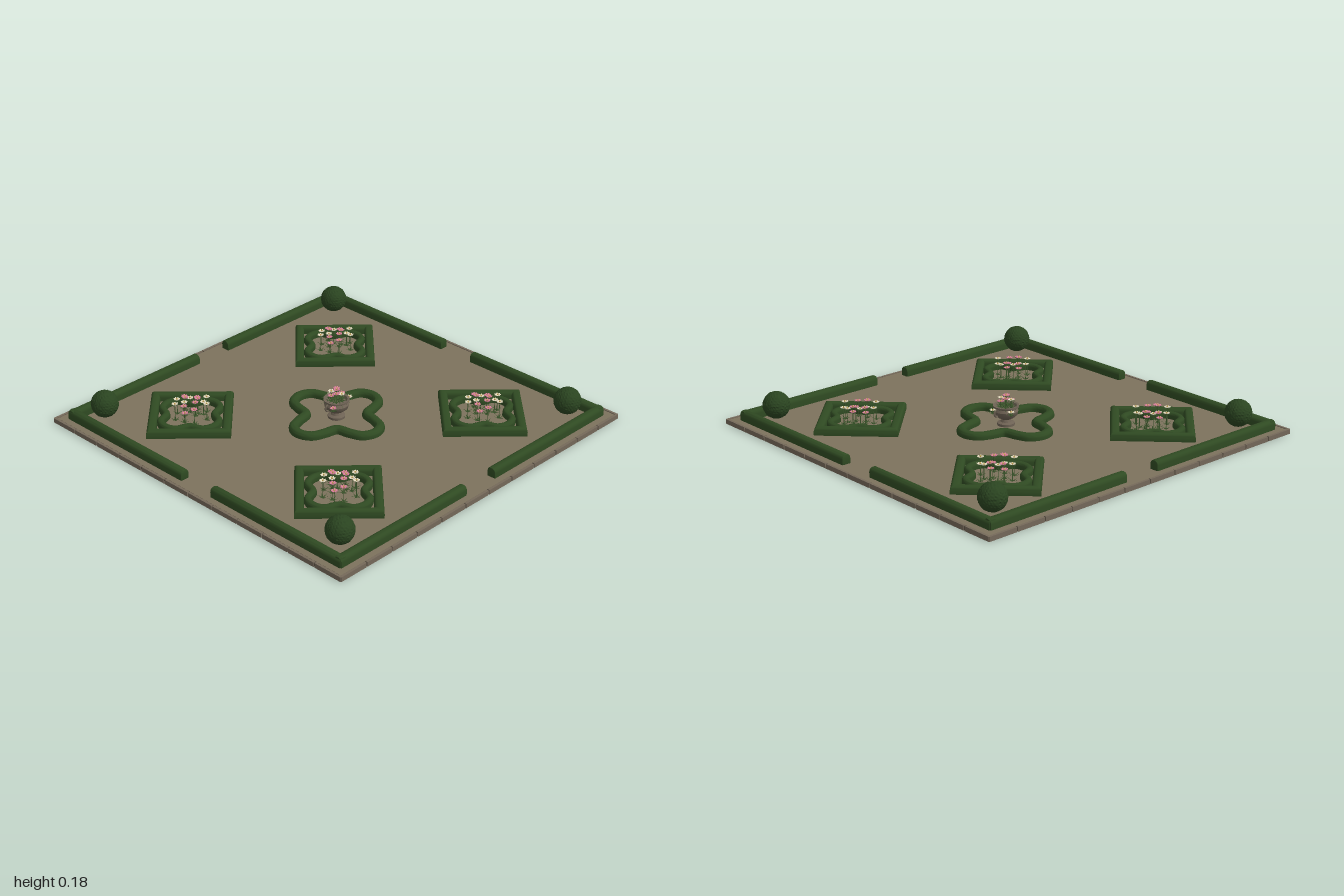
import * as THREE from 'three';
import { mergeGeometries, toCreasedNormals } from 'three/addons/utils/BufferGeometryUtils.js';

const mat = (name, color, side = THREE.FrontSide) => {
  const m = new THREE.MeshStandardMaterial({ color, side });
  m.name = name;
  return m;
};
const GROUND = 0.022;

export function createModel() {
  const M = {
    gravel: mat('gravel', 0x7d725d),
    kerb: mat('kerb stone', 0x75695a),
    joint: mat('dark joint', 0x4a4236),
    hedge: mat('hedge green', 0x2f4a22),
    ball: mat('topiary green', 0x2a4420),
    leaf: mat('leaf green', 0x3f5a2e, THREE.DoubleSide),
    urn: mat('urn stone', 0x6e6254, THREE.DoubleSide),
    pink: mat('pink petals', 0xd9809a),
    cream: mat('cream petals', 0xe4dabf),
    yolk: mat('flower centre', 0xc9a650),
  };
  const root = new THREE.Group();
  root.name = 'formalGarden';
  const add = (parent, name, geo, material, x = 0, y = 0, z = 0) => {
    const mesh = new THREE.Mesh(geo, material);
    mesh.name = name;
    mesh.position.set(x, y, z);
    parent.add(mesh);
    return mesh;
  };
  const group = (parent, name, x = 0, y = 0, z = 0) => {
    const g = new THREE.Group();
    g.name = name;
    g.position.set(x, y, z);
    parent.add(g);
    return g;
  };

  // Ground slab, with a ring of kerb stones set against a dark joint
  add(root, 'gravelGround', new THREE.BoxGeometry(1.968, GROUND, 1.968), M.gravel, 0, GROUND / 2, 0);
  add(root, 'kerbJoint', new THREE.BoxGeometry(1.992, GROUND - 0.004, 1.992), M.joint, 0, GROUND / 2, 0);
  add(root, 'underside', new THREE.BoxGeometry(1.99, 0.004, 1.99), M.gravel, 0, 0.002, 0);
  const stones = 12, step = 2 / stones;
  for (let side = 0; side < 4; side++) {
    const g = group(root, 'kerbSide');
    g.rotation.y = side * Math.PI / 2;
    for (let i = 0; i < stones; i++) {
      add(g, 'kerbStone', new THREE.BoxGeometry(step - 0.006, GROUND + 0.002, 0.013), M.kerb,
        -1 + step * (i + 0.5), (GROUND + 0.002) / 2, 0.9935);
    }
  }

  // Hedge cross-section: upright sides and a rounded top, as [offset, height]
  const hedgeProfile = (w, h) => {
    const r = w * 0.42, pts = [[-w / 2, 0]];
    for (let i = 0; i <= 4; i++) {
      const a = i / 4 * Math.PI / 2;
      pts.push([-w / 2 + r - r * Math.cos(a), h - r + r * Math.sin(a)]);
    }
    return pts.concat(pts.map(([o, y]) => [-o, y]).reverse());
  };

  // Closed hedge: sweeps the cross-section round a ring of [x, z] points with mitred corners
  const ringHedge = (path, w, h) => {
    const prof = hedgeProfile(w, h), n = path.length, m = prof.length, pos = [], idx = [];
    path.forEach((p, i) => {
      const a = path[(i + n - 1) % n], b = path[(i + 1) % n];
      const d1 = new THREE.Vector2(p[0] - a[0], p[1] - a[1]).normalize();
      const d2 = new THREE.Vector2(b[0] - p[0], b[1] - p[1]).normalize();
      const t = d1.clone().add(d2).normalize();
      const k = 1 / t.dot(d2);
      for (const [o, y] of prof) pos.push(p[0] + t.y * o * k, y, p[1] - t.x * o * k);
      for (let j = 0; j < m - 1; j++) {
        const c = i * m + j, e = ((i + 1) % n) * m + j;
        idx.push(c, e, c + 1, e, e + 1, c + 1);
      }
    });
    const g = new THREE.BufferGeometry();
    g.setAttribute('position', new THREE.Float32BufferAttribute(pos, 3));
    g.setIndex(idx);
    return toCreasedNormals(g, 0.7);
  };

  // Four-lobed path from one quarter of points, turned four times
  const lobedPath = (quarter, count) => {
    const pts = [];
    for (let q = 0; q < 4; q++) {
      const c = Math.cos(q * Math.PI / 2), s = Math.sin(q * Math.PI / 2);
      for (const [x, z] of quarter) pts.push(new THREE.Vector3(x * c - z * s, 0, x * s + z * c));
    }
    return new THREE.CatmullRomCurve3(pts, true).getPoints(count).slice(0, -1).map(p => [p.x, p.z]);
  };

  // Straight boundary hedges, two on each side with a gate between
  const bevel = 0.006, len = 0.845;
  const shape = new THREE.Shape(hedgeProfile(0.05 - bevel * 2, 0.049 - bevel).map(p => new THREE.Vector2(...p)));
  const straight = toCreasedNormals(new THREE.ExtrudeGeometry(shape, {
    depth: len - bevel * 2, bevelThickness: bevel, bevelSize: bevel, bevelSegments: 2,
  }).translate(0, 0, -len / 2 + bevel), 0.7);
  for (let side = 0; side < 4; side++) {
    const g = group(root, 'boundaryHedges');
    g.rotation.y = side * Math.PI / 2;
    for (const s of [-1, 1]) add(g, 'boundaryHedge', straight, M.hedge, 0.925, GROUND, s * (0.1 + len / 2));
  }

  // Clipped balls in the corners, with a ruffled surface
  const ballGeo = new THREE.IcosahedronGeometry(0.069, 9);
  const bp = ballGeo.attributes.position, v = new THREE.Vector3();
  for (let i = 0; i < bp.count; i++) {
    v.fromBufferAttribute(bp, i);
    const ruffle = Math.sin(v.x * 310) * Math.sin(v.y * 290 + 1) * Math.sin(v.z * 330 + 2);
    v.multiplyScalar(1 + 0.035 * ruffle);
    bp.setXYZ(i, v.x, v.y, v.z);
  }
  ballGeo.computeVertexNormals();
  for (const x of [-0.815, 0.815]) for (const z of [-0.815, 0.815]) add(root, 'topiaryBall', ballGeo, M.ball, x, 0.105, z);

  // Flower parts: a shallow ring of petals, its centre, and a rosette of pointed leaves
  const petals = mergeGeometries(Array.from({ length: 7 }, (_, i) =>
    new THREE.SphereGeometry(1, 7, 5).scale(0.008, 0.0025, 0.0055).rotateZ(0.3)
      .translate(0.0105, 0, 0).rotateY(i * Math.PI * 2 / 7)));
  const centre = new THREE.SphereGeometry(0.0045, 8, 5);
  const rosette = (count, length, tilt) => mergeGeometries(Array.from({ length: count }, (_, i) =>
    new THREE.ConeGeometry(0.005, length, 4).scale(1, 1, 0.3).translate(0, length / 2, 0)
      .rotateX(tilt).rotateY(i * Math.PI * 2 / count)));
  const sepals = rosette(5, 0.02, 1.75), ground = rosette(6, 0.03, 1.2);
  const flower = (parent, x, z, base, top, colour, turn) => {
    const g = group(parent, 'flower', x, 0, z);
    g.rotation.y = turn;
    const h = top - base;
    add(g, 'stem', new THREE.CylinderGeometry(0.0016, 0.002, h, 5), M.leaf, 0, base + h / 2, 0);
    add(g, 'sepals', sepals, M.leaf, 0, top - 0.003, 0);
    add(g, 'leaves', ground, M.leaf, 0, base + 0.002, 0);
    add(g, 'petals', petals, colour, 0, top, 0);
    add(g, 'flowerCentre', centre, M.yolk, 0, top + 0.002, 0);
  };

  // Four planting beds: a diamond hedge, a lobed hedge and a clump of flowers
  const diamond = ringHedge([[0.262, 0], [0, 0.262], [-0.262, 0], [0, -0.262]], 0.046, 0.04);
  const lobed = ringHedge(lobedPath([[0.17, 0], [0.15, 0.055], [0.085, 0.085], [0.055, 0.15]], 64), 0.036, 0.034);
  const clump = [
    [0.032, -0.08, 1], [-0.025, -0.072, 0], [-0.075, -0.03, 0], [-0.015, -0.028, 0], [0.012, -0.05, 1],
    [0.07, -0.028, 1], [0.03, -0.035, 0], [-0.058, 0.018, 1], [0.022, 0.012, 1], [0.09, 0.022, 0],
    [0.06, 0.03, 0], [-0.036, 0.068, 1], [0.037, 0.08, 0], [-0.085, 0.055, 1], [0.048, 0.002, 1],
  ];
  for (const x of [-0.515, 0.515]) for (const z of [-0.515, 0.515]) {
    const bed = group(root, 'plantingBed', x, 0, z);
    add(bed, 'diamondHedge', diamond, M.hedge, 0, GROUND, 0);
    add(bed, 'lobedHedge', lobed, M.hedge, 0, GROUND, 0);
    clump.forEach(([fx, fz, p], i) =>
      flower(bed, fx, fz, GROUND, 0.1 + (i * 7 % 5) * 0.0045, p ? M.pink : M.cream, i * 1.3));
  }

  // Central lobed hedge
  const centreQuarter = [[0.265, 0], [0.24, 0.062], [0.18, 0.088], [0.108, 0.108], [0.088, 0.18], [0.062, 0.24]];
  add(root, 'centralHedge', ringHedge(lobedPath(centreQuarter, 96), 0.048, 0.035), M.hedge, 0, GROUND, 0);

  // Stone urn with two handles
  const urn = group(root, 'urn');
  const profile = [[0, 0.022], [0.044, 0.022], [0.044, 0.034], [0.028, 0.04], [0.022, 0.052], [0.04, 0.062],
    [0.058, 0.078], [0.062, 0.098], [0.054, 0.112], [0.066, 0.118], [0.066, 0.126], [0.054, 0.124], [0.048, 0.112], [0, 0.112]];
  const lathe = new THREE.LatheGeometry(profile.map(p => new THREE.Vector2(...p)), 28);
  add(urn, 'urnBody', toCreasedNormals(lathe, 0.7), M.urn);
  for (const s of [-1, 1]) add(urn, 'urnHandle', new THREE.TorusGeometry(0.018, 0.0045, 8, 18), M.urn, s * 0.06, 0.096, 0);

  // Urn planting: trailing leaves, a raised bunch and a few blooms over the rim
  add(urn, 'trailingLeaves', rosette(16, 0.085, 1.75), M.leaf, 0, 0.13, 0);
  add(urn, 'innerLeaves', rosette(10, 0.055, 1.0), M.leaf, 0, 0.118, 0);
  flower(urn, 0, 0, 0.115, 0.176, M.pink, 0);
  for (let i = 0; i < 6; i++) {
    const a = i * Math.PI / 3 + 0.3;
    flower(urn, 0.03 * Math.cos(a), 0.03 * Math.sin(a), 0.115, 0.15 + (i % 3) * 0.009, i % 3 === 1 ? M.cream : M.pink, i);
  }
  [[-0.065, 0.04, 1], [0.075, 0.015, 0], [0.03, -0.07, 0]].forEach(([x, z, p], i) =>
    flower(urn, x, z, 0.09, 0.112, p ? M.pink : M.cream, i));
  return root;
}
